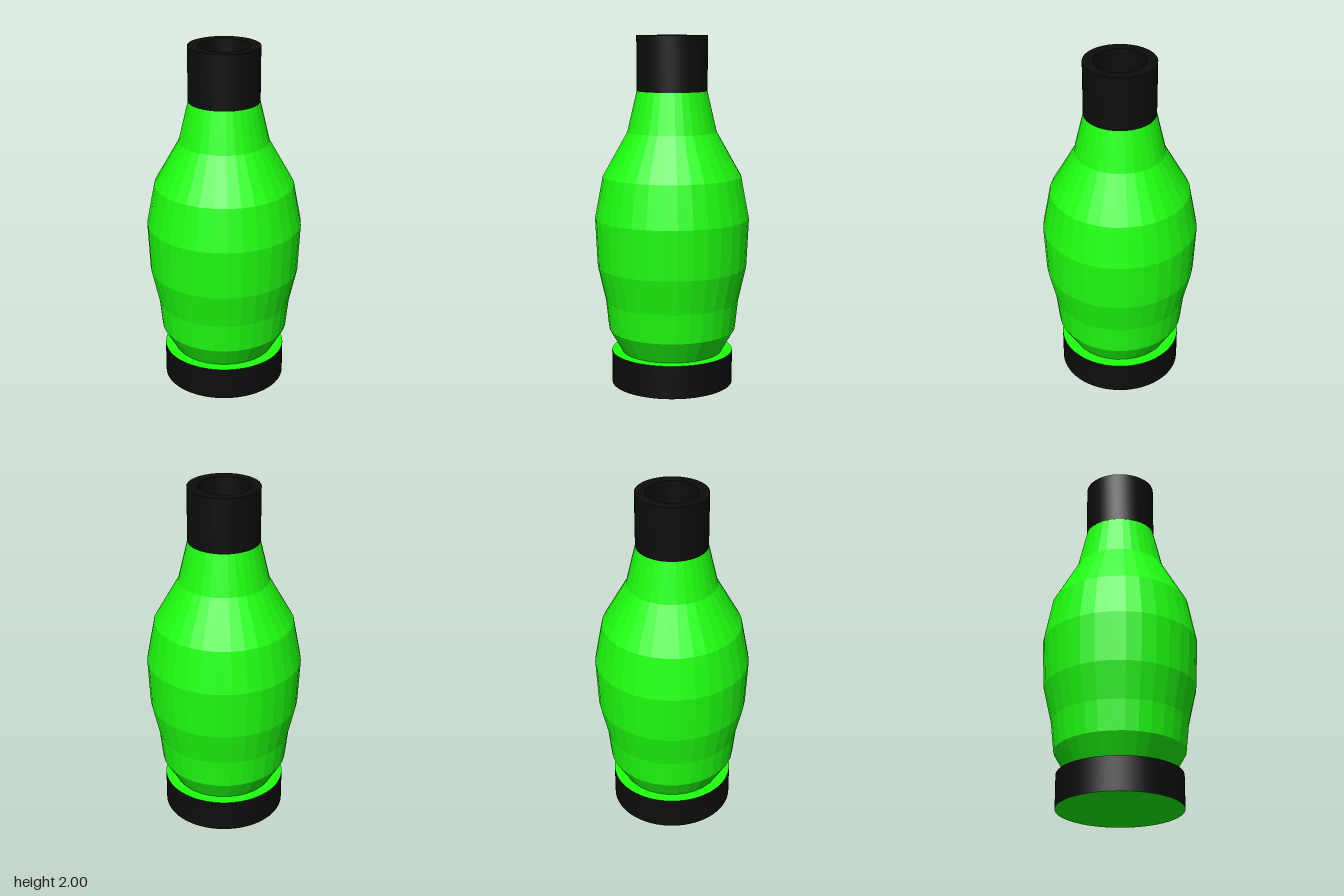
import * as THREE from 'three';
import { toCreasedNormals } from 'three/addons/utils/BufferGeometryUtils.js';

const green = new THREE.MeshStandardMaterial({ color: 0x1fff10 });
const greenFaceted = new THREE.MeshStandardMaterial({ color: 0x1fff10, flatShading: true });
const black = new THREE.MeshStandardMaterial({ color: 0x0d0d0d });

const lathe = (profile, sides) =>
  new THREE.LatheGeometry(profile.map(([r, y]) => new THREE.Vector2(r, y)), sides);

export function createModel() {
  const model = new THREE.Group();
  const add = (name, geometry, material) => {
    const mesh = new THREE.Mesh(geometry, material);
    mesh.name = name;
    model.add(mesh);
    return mesh;
  };

  // Base disc: black rim with green top and underside
  add('base', new THREE.CylinderGeometry(0.35, 0.35, 0.19, 64), [black, green, green])
    .position.y = 0.095;

  // Faceted bottle body, closed at both ends
  add('body', lathe([
    [0, 0.19], [0.29, 0.19], [0.365, 0.32], [0.383, 0.49], [0.428, 0.69],
    [0.441, 0.97], [0.395, 1.21], [0.254, 1.46], [0.2, 1.69], [0, 1.69],
  ], 32), greenFaceted);

  // Hollow collar around the mouth
  add('collar', toCreasedNormals(lathe([
    [0.143, 1.69], [0.2, 1.69], [0.2, 2], [0.143, 2], [0.143, 1.69],
  ], 64), 0.6), black);

  return model;
}
